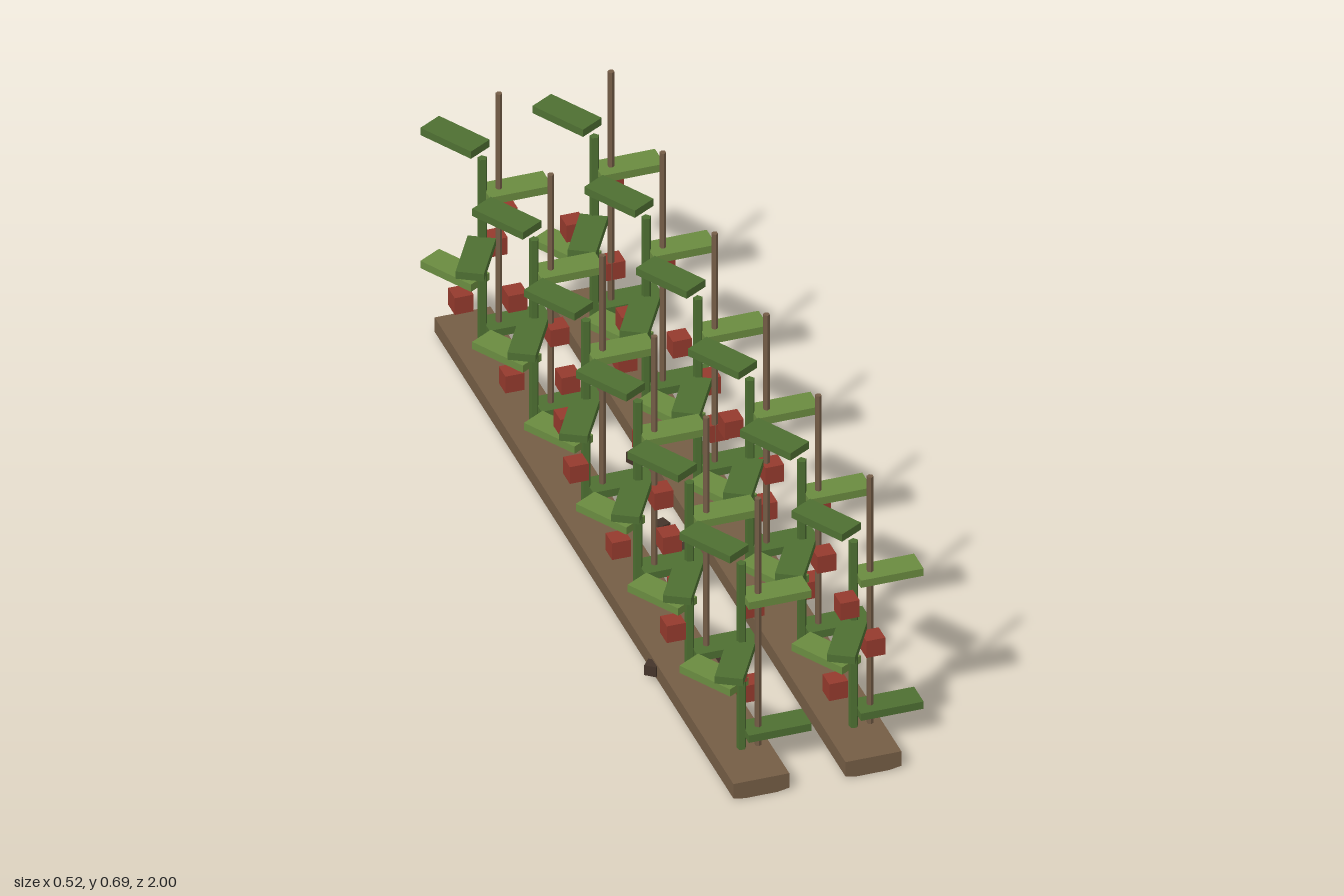
import * as THREE from 'three';

const mat = (name, color) => {
  const m = new THREE.MeshStandardMaterial({ color, flatShading: true });
  m.name = name;
  return m;
};

export function createModel() {
  const root = new THREE.Group();
  root.name = 'vegetableRows';
  const soil = mat('soil brown', 0x755d45);
  const wood = mat('stake brown', 0x755d47);
  const stemGreen = mat('stem green', 0x4c6e31);
  const darkLeaf = mat('dark leaf green', 0x4e6f32);
  const lightLeaf = mat('light leaf green', 0x6a8b40);
  const red = mat('fruit red', 0x953a2d);
  const clodBrown = mat('clod brown', 0x44342a);

  const add = (parent, geo, material, name, x, y, z, ry = 0) => {
    const mesh = new THREE.Mesh(geo, material);
    mesh.name = name;
    mesh.position.set(x, y, z);
    mesh.rotation.y = ry;
    parent.add(mesh);
    return mesh;
  };

  // Soil bed section: flat top, gently bellied underside
  const section = new THREE.Shape([
    [-0.065, 0.005], [-0.038, 0], [0.038, 0], [0.065, 0.005], [0.065, 0.043], [-0.065, 0.043],
  ].map(([x, y]) => new THREE.Vector2(x, y)));
  const bedGeo = new THREE.ExtrudeGeometry(section, { depth: 1.966, bevelEnabled: false });
  bedGeo.translate(0, 0, -0.983);

  const stemGeo = new THREE.CylinderGeometry(0.011, 0.011, 0.5, 5);
  const stakeGeo = new THREE.CylinderGeometry(0.0075, 0.0075, 0.662, 6);
  const leafGeo = new THREE.BoxGeometry(0.146, 0.019, 0.063);
  leafGeo.translate(0.079, 0, 0);
  const fruitGeo = new THREE.BoxGeometry(0.044, 0.044, 0.044);
  const clodGeo = new THREE.BoxGeometry(0.028, 0.026, 0.028);

  // Fruit z offsets (low, middle, high) and x side for each plant, front to back
  const fruits = [
    [ // right-hand row of the model
      [[-0.04, 1], [0.04, -1], [-0.035, 1]],
      [[0.02, -1], [0.035, -1], [0.005, -1]],
      [[0.01, -1], [0.015, 1], [-0.04, 1]],
      [[0.035, -1], [0.01, -1], [0.015, -1]],
      [[-0.01, -1], [0.01, 1], [0.01, -1]],
      [[0, -1], [-0.03, 1], [0.025, 1]],
    ],
    [ // left-hand row of the model
      [[0.015, -1], [0.04, 1], [0.04, -1]],
      [[-0.04, 1], [0.03, 1], [-0.02, 1]],
      [[-0.025, 1], [0, 1], [-0.04, -1]],
      [[-0.015, 1], [-0.035, 1], [-0.04, -1]],
      [[0, -1], [0.015, -1], [-0.02, 1]],
      [[-0.015, 1], [-0.03, -1], [-0.02, 1]],
    ],
  ];

  const makePlant = (spots) => {
    const plant = new THREE.Group();
    plant.name = 'plant';
    add(plant, stemGeo, stemGreen, 'stem', 0, 0.28, 0, 0.42);
    add(plant, stakeGeo, wood, 'stake', 0.0385, 0.361, 0);
    // Five leaves spiralling up in steps of 120 degrees
    for (let i = 0; i < 5; i++) {
      add(plant, leafGeo, i % 2 ? lightLeaf : darkLeaf, 'leaf',
        0, 0.083 + i * 0.1168, 0, (i * Math.PI * 2) / 3);
    }
    // Fruits hang around the stem
    spots.forEach(([dz, side], i) => {
      const dx = side * Math.sqrt(0.05 ** 2 - dz ** 2);
      add(plant, fruitGeo, red, 'fruit', dx, 0.168 + i * 0.112, dz);
    });
    return plant;
  };

  [-0.154, 0.107].forEach((x, r) => {
    const row = new THREE.Group();
    row.name = 'plantRow';
    row.position.x = x;
    add(row, bedGeo, soil, 'soilBed', 0, 0, 0);
    for (let p = 0; p < 6; p++) {
      const plant = makePlant(fruits[r][p]);
      plant.position.z = 0.852 - p * 0.341;
      row.add(plant);
    }
    root.add(row);
  });

  // Loose clods between the beds
  [[0.02, -0.34, 0.5], [-0.018, -0.058, 0.3], [0, 0.048, 0.9], [-0.068, 0.463, 0.7], [-0.224, 0.463, 0.9]]
    .forEach(([x, z, ry]) => add(root, clodGeo, clodBrown, 'clod', x, 0.025, z, ry));

  return root;
}
